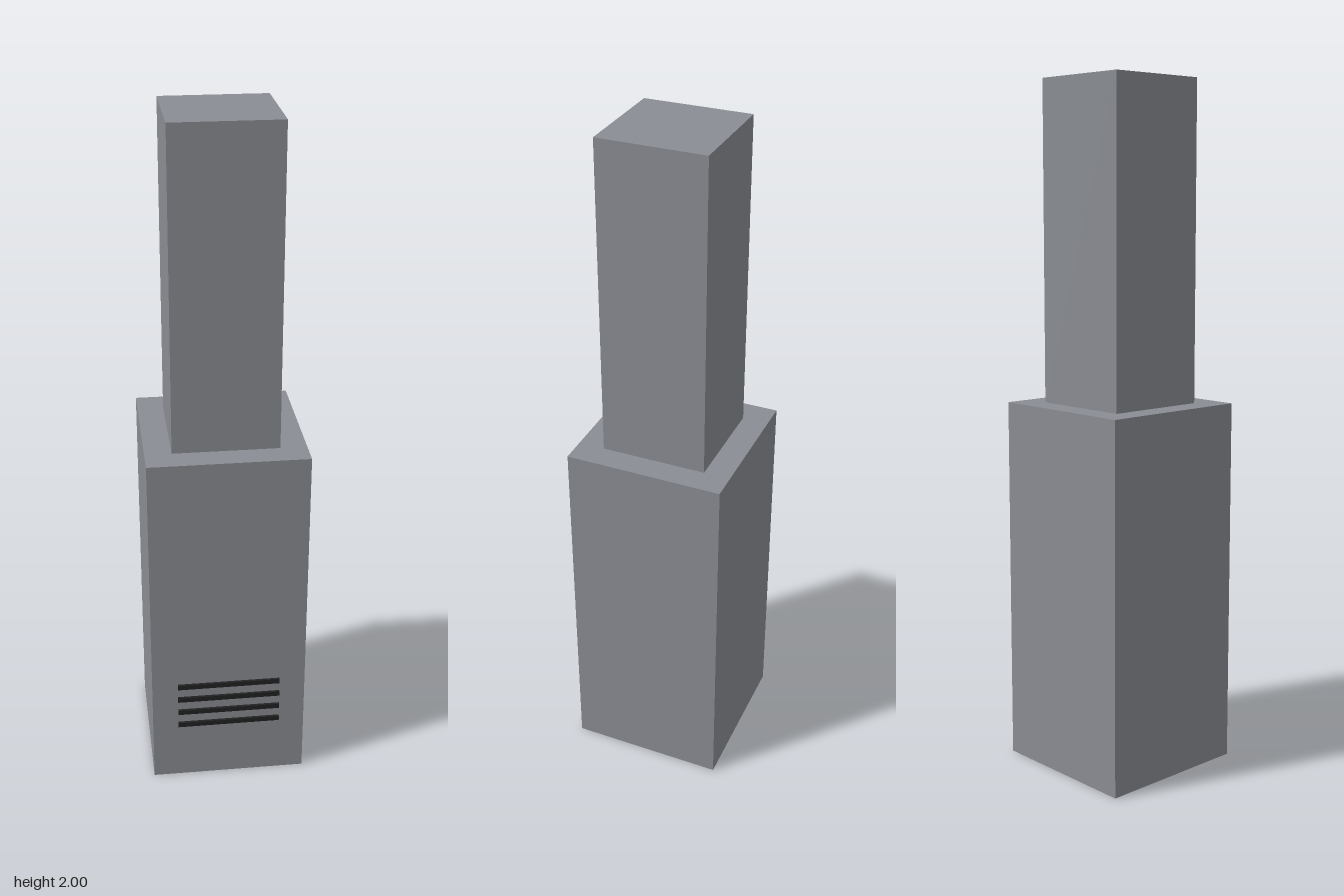
import * as THREE from 'three';

export function createModel() {
  const model = new THREE.Group();
  const grey = new THREE.MeshStandardMaterial({ color: 0x8a8d93 });
  grey.name = 'grey';
  const black = new THREE.MeshStandardMaterial({ color: 0x222222 });
  black.name = 'black';

  const U = 2 / 13; // module: the tower is 13 units tall
  const Z = -0.025 * U; // the vents make the front slightly deeper

  function box(name, material, w, h, d, bottom, z) {
    const mesh = new THREE.Mesh(new THREE.BoxGeometry(w * U, h * U, d * U), material);
    mesh.name = name;
    mesh.position.set(0, (bottom + h / 2) * U, z);
    model.add(mesh);
  }

  // Wide base and narrower shaft
  box('base', grey, 3, 7, 3, 0, Z);
  box('shaft', grey, 2, 6, 2, 7, Z);

  // Four vent slats low on the front face
  for (let i = 0; i < 4; i++) {
    box('ventSlat' + (i + 1), black, 2, 0.1, 0.05, 1.2 + i * 0.3, Z + 1.525 * U);
  }

  return model;
}
